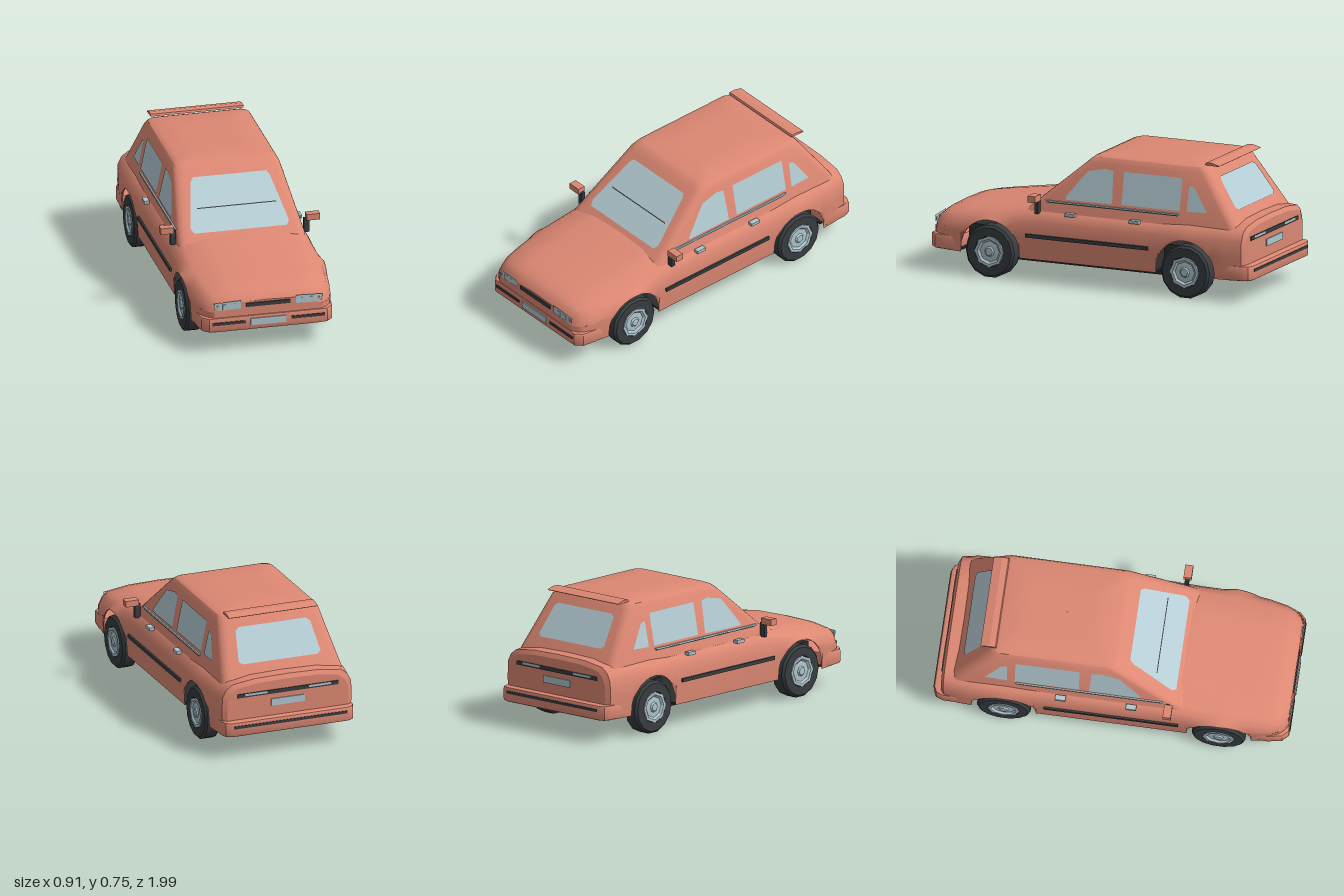
import * as THREE from 'three';
import { toCreasedNormals } from 'three/addons/utils/BufferGeometryUtils.js';

const material = (name, color, side = THREE.FrontSide) => {
  const m = new THREE.MeshStandardMaterial({ color, side });
  m.name = name;
  return m;
};

// Joins rows of equal point count into one surface
function loft(rows, closed, crease) {
  const n = rows[0].length, pos = rows.flat(2), idx = [];
  for (let i = 0; i < rows.length - 1; i++)
    for (let j = 0; j < (closed ? n : n - 1); j++) {
      const a = i * n + j, b = i * n + (j + 1) % n;
      idx.push(a, b, b + n, a, b + n, a + n);
    }
  const g = new THREE.BufferGeometry();
  g.setAttribute('position', new THREE.Float32BufferAttribute(pos, 3));
  g.setIndex(idx);
  return toCreasedNormals(g, crease);
}

export function createModel() {
  const car = new THREE.Group();
  car.name = 'car';
  const paint = material('salmon paint', 0xdd8873, THREE.DoubleSide);
  const glass = material('window glass', 0xb5cdd5, THREE.DoubleSide);
  const silver = material('silver', 0xafc6ce, THREE.DoubleSide);
  const rubber = material('dark rubber', 0x383d40);
  const under = material('black underside', 0x2b2d2f);

  const add = (name, geo, mat, parent = car) => {
    const m = new THREE.Mesh(geo, mat);
    m.name = name;
    parent.add(m);
    return m;
  };
  const box = (name, mat, w, h, d, x, y, z) => {
    const m = add(name, new THREE.BoxGeometry(w, h, d), mat);
    m.position.set(x, y, z);
    return m;
  };
  // Thin flat panel: outline points mapped into space
  const plate = (name, mat, pts, map) => {
    const g = new THREE.ShapeGeometry(new THREE.Shape(pts.map(p => new THREE.Vector2(...p))));
    const p = g.attributes.position;
    for (let i = 0; i < p.count; i++) p.setXYZ(i, ...map(p.getX(i), p.getY(i)));
    g.computeVertexNormals();
    return add(name, g, mat);
  };
  const mirrored = half => [...half, ...half.map(([x, y]) => [-x, y]).reverse()];

  // Lower body: sections along z as [z, half width, top height]
  const keys = [
    [-0.955, 0.36, 0.42], [-0.94, 0.385, 0.443], [-0.85, 0.4, 0.447], [-0.6, 0.41, 0.445],
    [-0.38, 0.4, 0.44], [0.3, 0.4, 0.44], [0.4, 0.4, 0.43], [0.6, 0.41, 0.4],
    [0.78, 0.395, 0.375], [0.88, 0.378, 0.36], [0.93, 0.36, 0.345], [0.96, 0.335, 0.325], [0.978, 0.305, 0.3],
  ];
  const wheelZ = [0.6, -0.6], archR = 0.18;
  const stations = keys.map(k => k[0]);
  for (const c of wheelZ)
    for (let i = 0; i <= 14; i++) if (i !== 7) stations.push(c + archR * Math.cos(i * Math.PI / 14));
  stations.sort((a, b) => a - b);
  const section = z => {
    let k = 0;
    while (k < keys.length - 2 && z > keys[k + 1][0]) k++;
    const [a, b] = [keys[k], keys[k + 1]], t = (z - a[0]) / (b[0] - a[0]);
    const w = a[1] + (b[1] - a[1]) * t, top = a[2] + (b[2] - a[2]) * t;
    let low = 0.13;
    for (const c of wheelZ) {
      const d = Math.abs(z - c);
      if (d < archR - 1e-6) low = 0.15 + Math.sqrt(archR * archR - d * d);
    }
    const half = [[0.5, top - 0.004], [0.84, top - 0.022], [0.94, top - 0.05], [1, top - 0.095],
      [1.005, Math.max(low, 0.25)], [0.985, low]].map(([f, y]) => [f * w, Math.max(y, low), z]);
    return [...half.map(([x, y]) => [-x, y, z]).reverse(), [0, top, z], ...half];
  };
  const rows = stations.map(section);
  add('bodyShell', loft(rows, false, 0.6), paint);
  for (const [name, r] of [['tailPanel', rows[0]], ['nosePanel', rows[rows.length - 1]]])
    plate(name, paint, r.map(p => [p[0], p[1]]), (x, y) => [x, y, r[0][2]]);

  // Cabin: rounded rectangles stacked upward as [y, half width, front z, back z, corner radius]
  const ring = ([y, w, zf, zb, r]) => {
    const out = [];
    [[w - r, zf - r], [-w + r, zf - r], [-w + r, zb + r], [w - r, zb + r]].forEach(([x, z], q) => {
      for (let i = 0; i <= 4; i++) {
        const a = (q + i / 4) * Math.PI / 2;
        out.push([x + r * Math.cos(a), y, z + r * Math.sin(a)]);
      }
    });
    return out;
  };
  const cabin = [[0.4, 0.364, 0.406, -0.906, 0.05], [0.46, 0.352, 0.335, -0.865, 0.05],
    [0.7, 0.303, 0.05, -0.7, 0.05], [0.725, 0.288, 0.02, -0.68, 0.05],
    [0.737, 0.262, -0.01, -0.65, 0.05], [0.741, 0.12, -0.15, -0.5, 0.05], [0.742, 0.001, -0.3, -0.302, 0.001]];
  add('cabin', loft(cabin.map(ring), true, 0.5), paint);

  // Windows lie just above the sloped cabin faces
  const frontZ = y => 0.335 - 1.1875 * (y - 0.46) + 0.005;
  const backZ = y => -0.865 + 0.6875 * (y - 0.46) - 0.005;
  const sideX = y => 0.352 - 0.204 * (y - 0.46) + 0.004;
  plate('windshield', glass, mirrored([[0.265, 0.455], [0.28, 0.475], [0.225, 0.66], [0.21, 0.678]]),
    (x, y) => [x, y, frontZ(y)]);
  plate('windshieldLine', rubber, [[-0.22, 0.552], [0.23, 0.552], [0.23, 0.556], [-0.22, 0.556]],
    (x, y) => [x, y, frontZ(y) + 0.003]);
  plate('rearWindow', glass, mirrored([[0.225, 0.495], [0.245, 0.51], [0.222, 0.655], [0.2, 0.67]]),
    (x, y) => [x, y, backZ(y)]);
  const sideWindows = {
    frontSideWindow: [[0.158, 0.478], [0.155, 0.495], [0.035, 0.645], [-0.07, 0.668], [-0.12, 0.66], [-0.13, 0.48]],
    rearSideWindow: [[-0.187, 0.482], [-0.187, 0.662], [-0.535, 0.662], [-0.545, 0.65], [-0.545, 0.482]],
    quarterWindow: [[-0.588, 0.482], [-0.59, 0.615], [-0.598, 0.625], [-0.625, 0.615], [-0.712, 0.486]],
  };

  for (const s of [1, -1]) {
    for (const [name, pts] of Object.entries(sideWindows))
      plate(name, glass, pts, (z, y) => [s * sideX(y), y, z]);
    // Side trim and handles
    box('beltTrim', silver, 0.008, 0.008, 0.82, s * 0.355, 0.462, -0.13);
    box('beltSeal', rubber, 0.007, 0.005, 0.8, s * 0.355, 0.455, -0.13);
    box('sideMoulding', rubber, 0.014, 0.02, 0.75, s * 0.405, 0.264, 0);
    for (const z of [0.11, -0.285]) box('doorHandle', silver, 0.03, 0.018, 0.058, s * 0.386, 0.402, z);
    // Mirrors
    box('mirrorArm', rubber, 0.032, 0.082, 0.022, s * 0.38, 0.432, 0.315);
    box('mirrorHousing', paint, 0.076, 0.036, 0.045, s * 0.416, 0.483, 0.318);
    // Headlights
    plate('headlight', silver, [[0.157, 0.262], [0.157, 0.31], [0.31, 0.302], [0.307, 0.268], [0.28, 0.257]],
      (x, y) => [s * x, y, 0.984 - 0.06 * Math.max(0, x - 0.2)]);
    for (const x of [0.2, 0.247]) box('headlightLens', silver, 0.026, 0.03, 0.008, s * x, 0.278, 0.98);
    box('turnSignal', paint, 0.012, 0.015, 0.008, s * 0.289, 0.28, 0.979);
    box('frontBumperStrip', rubber, 0.19, 0.016, 0.008, s * 0.225, 0.181, 0.987);
    box('tailLight', silver, 0.13, 0.012, 0.012, s * 0.19, 0.358, -0.957);
  }

  // Bumpers extruded upward from their plan outlines
  const bumper = (name, half) => {
    const shape = new THREE.Shape(mirrored(half).map(([x, z]) => new THREE.Vector2(x, -z)));
    const g = new THREE.ExtrudeGeometry(shape, {
      depth: 0.06, bevelEnabled: true, bevelThickness: 0.013, bevelSize: 0.013, bevelOffset: -0.013, bevelSegments: 2,
    });
    g.rotateX(-Math.PI / 2).translate(0, 0.143, 0);
    add(name, toCreasedNormals(g, 0.6), paint);
  };
  bumper('frontBumper', [[0.385, 0.8], [0.385, 0.87], [0.372, 0.95], [0.335, 0.986]]);
  bumper('rearBumper', [[0.398, -0.8], [0.395, -0.94], [0.38, -0.98], [0.345, -0.997]]);
  box('rearBumperStrip', rubber, 0.68, 0.016, 0.01, 0, 0.187, -0.995);
  box('frontPlate', silver, 0.204, 0.04, 0.008, 0, 0.178, 0.988);
  box('rearPlate', silver, 0.2, 0.04, 0.01, 0, 0.293, -0.956);
  box('grille', rubber, 0.25, 0.022, 0.012, 0, 0.278, 0.979);
  box('tailStrip', rubber, 0.6, 0.022, 0.01, 0, 0.355, -0.956);

  // Roof spoiler
  const spoilerShape = new THREE.Shape([[-0.66, 0.738], [-0.665, 0.75], [-0.7, 0.751], [-0.748, 0.738], [-0.74, 0.733]]
    .map(p => new THREE.Vector2(-p[0], p[1])));
  const spoiler = new THREE.ExtrudeGeometry(spoilerShape, { depth: 0.53, bevelEnabled: false });
  spoiler.translate(0, 0, -0.265).rotateY(Math.PI / 2);
  add('spoiler', spoiler, paint);

  // Underside and inner wheel housings
  box('floorPan', under, 0.6, 0.034, 1.4, 0, 0.115, 0);
  box('sillFloor', under, 0.78, 0.012, 0.82, 0, 0.134, 0);
  for (const s of [1, -1]) {
    box('endFloor', under, 0.72, 0.012, 0.1, 0, 0.14, s * 0.835);
    box('innerHousing', under, 0.58, 0.145, 0.36, 0, 0.2, s * 0.6);
  }

  // Wheels
  const lathe = (pts, sides) => {
    const g = new THREE.LatheGeometry(pts.map(p => new THREE.Vector2(...p)), sides);
    return toCreasedNormals(g, 0.5).rotateZ(-Math.PI / 2);
  };
  const tyre = lathe([[0, -0.047], [0.135, -0.047], [0.15, -0.034], [0.15, 0.034],
    [0.137, 0.047], [0.088, 0.047], [0.08, 0.03], [0, 0.03]], 14);
  const hub = lathe([[0.088, 0.03], [0.088, 0.05], [0.072, 0.05], [0.06, 0.04], [0.03, 0.042], [0.022, 0.05], [0, 0.051]], 8);
  for (const z of wheelZ) for (const s of [1, -1]) {
    const wheel = new THREE.Group();
    wheel.name = 'wheel';
    wheel.position.set(s * 0.358, 0.15, z);
    if (s < 0) wheel.rotation.y = Math.PI;
    add('tyre', tyre, rubber, wheel);
    add('hubcap', hub, silver, wheel);
    car.add(wheel);
  }
  return car;
}
